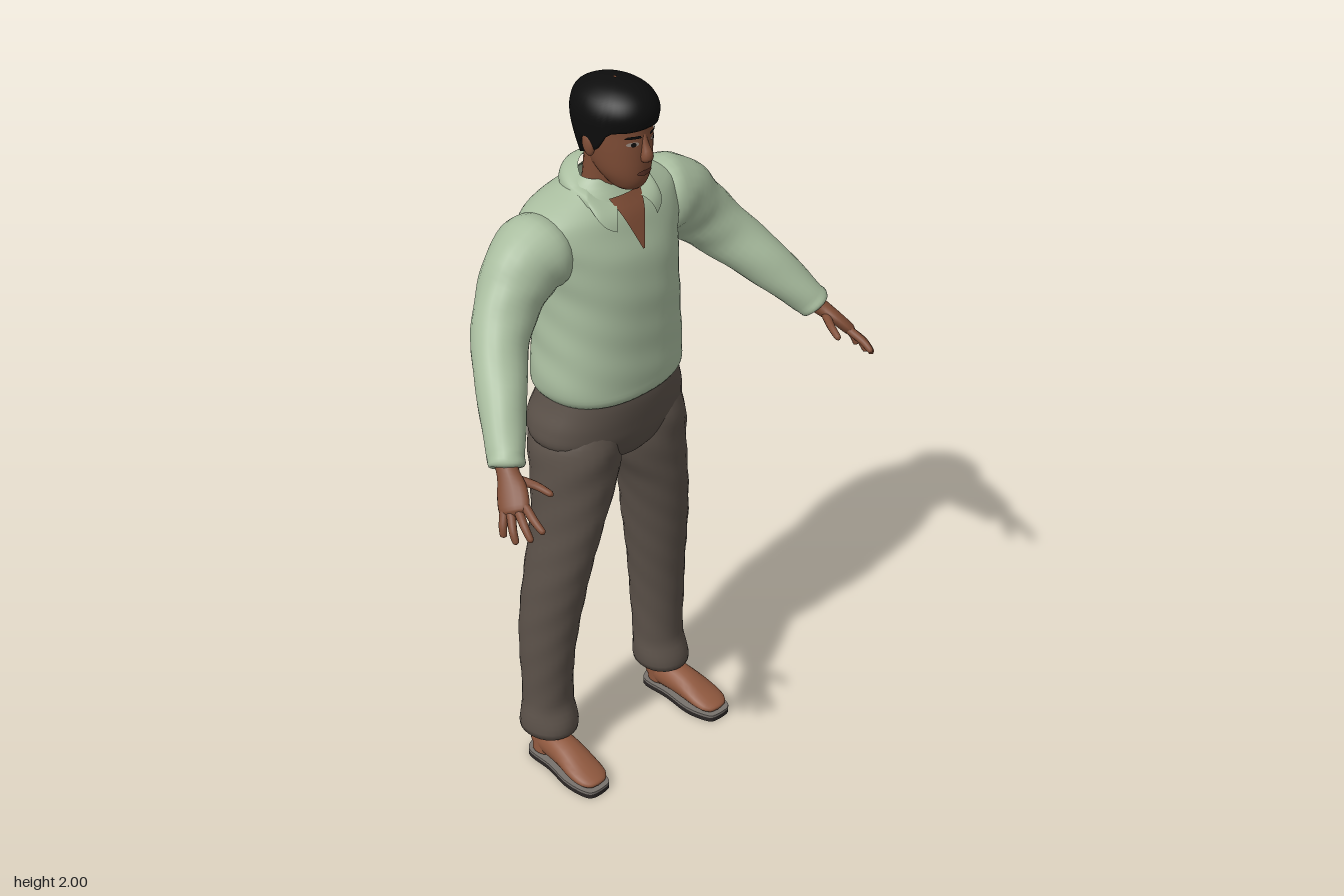
import * as THREE from 'three';

const mat = (name, color, side = THREE.FrontSide) => {
  const m = new THREE.MeshStandardMaterial({ color, side });
  m.name = name;
  return m;
};

// Smooth lookup in a table whose first column is the key; all rows are equally long
function at(table, k) {
  const last = table.length - 1;
  if (k <= table[0][0]) return table[0];
  if (k >= table[last][0]) return table[last];
  let i = 0;
  while (table[i + 1][0] < k) i++;
  const p = table[i], q = table[i + 1], h = q[0] - p[0], s = (k - p[0]) / h;
  const o = table[Math.max(i - 1, 0)], r = table[Math.min(i + 2, last)];
  return p.map((v, c) => {
    const m0 = (q[c] - o[c]) / (q[0] - o[0]) * h, m1 = (r[c] - v) / (r[0] - p[0]) * h;
    return (2 * s ** 3 - 3 * s * s + 1) * v + (s ** 3 - 2 * s * s + s) * m0
      + (3 * s * s - 2 * s ** 3) * q[c] + (s ** 3 - s * s) * m1;
  });
}

// Surface from fn(u, v); wrap joins the last column to the first
function grid(nu, nv, fn, wrap = true) {
  const pos = [], idx = [], cols = wrap ? nv : nv + 1;
  for (let i = 0; i <= nu; i++)
    for (let j = 0; j < cols; j++) pos.push(...fn(i / nu, j / nv));
  for (let i = 0; i < nu; i++)
    for (let j = 0; j < nv; j++) {
      const k = (j + 1) % cols, a = i * cols + j, b = i * cols + k;
      idx.push(a, b, b + cols, a, b + cols, a + cols);
    }
  const g = new THREE.BufferGeometry();
  g.setAttribute('position', new THREE.Float32BufferAttribute(pos, 3));
  g.setIndex(idx);
  g.computeVertexNormals();
  return g;
}

// Copy across x = 0 with the corner order turned back
function mirror(geo) {
  const g = geo.clone().scale(-1, 1, 1);
  const order = g.index ? Array.from(g.index.array) : Array.from({ length: g.attributes.position.count }, (_, i) => i);
  for (let i = 0; i < order.length; i += 3) [order[i], order[i + 1]] = [order[i + 1], order[i]];
  g.setIndex(order);
  return g;
}

// Point of a horizontal ring; rows are [y, halfWidth, zFront, zBack, centreX, exponent]
function ringPoint([y, rx, zf, zb, cx = 0, n = 2], t, k = 1) {
  const f = v => Math.sign(v) * Math.abs(v) ** (2 / n);
  return [cx + k * rx * f(Math.sin(t)), y, (zf + zb) / 2 + k * (zf - zb) / 2 * f(Math.cos(t))];
}
function rings(table, nu = 40, nv = 36, wrinkle = 0) {
  const y0 = table[0][0], y1 = table[table.length - 1][0];
  return grid(nu, nv, (u, v) => {
    const t = v * Math.PI * 2, y = y0 + (y1 - y0) * u;
    return ringPoint(at(table, y), t, 1 + wrinkle * Math.sin(3 * t + 38 * y) * Math.sin(21 * y + t));
  });
}
const frontZ = (table, x, y) => {
  const [, rx, zf, zb, , n = 2] = at(table, y);
  return (zf + zb) / 2 + (zf - zb) / 2 * Math.max(0, 1 - Math.abs(x / rx) ** n) ** (1 / n);
};

// Rounded limb through [x, y, z, a, b]; b is the radius along ref
function limb(rows, ref = [0, 0, 1], nu = 16, nv = 14, wrinkle = 0) {
  const curve = new THREE.CatmullRomCurve3(rows.map(([x, y, z]) => new THREE.Vector3(x, y, z)));
  const radii = rows.map((r, i) => [i / (rows.length - 1), r[3], r[4] ?? r[3]]);
  return grid(nu, nv, (u, v) => {
    const t = v * Math.PI * 2, T = curve.getTangent(u);
    const e2 = new THREE.Vector3(...ref).projectOnPlane(T).normalize();
    const e1 = T.clone().cross(e2), [, a, b] = at(radii, u);
    const k = 1 + wrinkle * Math.sin(2 * t + 30 * u) * Math.sin(17 * u + t);
    return curve.getPoint(u).addScaledVector(e1, a * k * Math.sin(t)).addScaledVector(e2, b * k * Math.cos(t)).toArray();
  });
}

// Thin patch laid on the front of a ringed body
const patch = (table, y0, y1, left, right, off) => grid(10, 10, (u, v) => {
  const x = left(u) + (right(u) - left(u)) * v, y = y0 + (y1 - y0) * u;
  return [x, y, frontZ(table, x, y) + off];
}, false);
const oval = (table, x, y, w, h, off) => {
  const half = u => w * Math.sqrt(Math.max(0, 1 - (2 * u - 1) ** 2));
  return patch(table, y - h, y + h, u => x - half(u), u => x + half(u), off);
};

export function createModel() {
  const model = new THREE.Group();
  const shirt = mat('sage shirt', 0xa9bd9f, THREE.DoubleSide), trousers = mat('brown trousers', 0x5b5149);
  const skin = mat('skin', 0x7f4d36, THREE.DoubleSide), footSkin = mat('foot skin', 0x8f583e);
  const hair = mat('black hair', 0x0d0d0d, THREE.DoubleSide), sole = mat('dark sole', 0x2c2726);
  const insole = mat('grey insole', 0x77716c), eyeWhite = mat('eye white', 0x9a8a80), lip = mat('lips', 0x663a2c);
  const add = (name, geo, m) => {
    const mesh = new THREE.Mesh(geo, m);
    mesh.name = name;
    model.add(mesh);
  };
  const pair = (name, geo, m) => { add(name + 'Left', geo, m); add(name + 'Right', mirror(geo), m); };

  // Shirt body
  const torso = [
    [1.145, .17, .01, -.215, 0, 2.3], [1.155, .2, .038, -.25, 0, 2.3], [1.19, .214, .045, -.265, 0, 2.3],
    [1.3, .204, .045, -.262, 0, 2.3], [1.45, .2, .04, -.273, 0, 2.3], [1.55, .215, .026, -.28, 0, 2.3],
    [1.62, .235, .002, -.277, 0, 2.2], [1.66, .222, -.015, -.26, 0, 2.1], [1.69, .165, -.035, -.235, 0, 2],
    [1.715, .1, -.05, -.2, 0, 2], [1.74, .07, -.06, -.175, 0, 2]];
  add('shirtBody', rings(torso, 60, 56, .012), shirt);
  add('openNeckSkin', patch(torso, 1.57, 1.7, u => -.003 - .05 * u, u => .003 + .05 * u, .006), skin);

  // Folded collar, open at the front
  add('collar', grid(8, 48, (u, v) => {
    const t = .45 + v * (2 * Math.PI - .9), c = Math.cos(t), s = Math.sin(t), f = Math.max(0, c) ** 2;
    const top = [.07 * s, 1.725 - .038 * c, -.105 + .07 * c];
    const x = (.108 + .06 * f) * s, y = 1.695 - .03 * c - .045 * f;
    const low = [x, y, c > 0 ? Math.max(-.12 + .1 * c, frontZ(torso, x, y) + .01) : -.12 + .108 * c];
    const bulge = .012 * Math.sin(Math.PI * u);
    return [0, 1, 2].map(i => low[i] + (top[i] - low[i]) * u + bulge * [s, .5, c][i]);
  }, false), shirt);

  // Sleeves
  pair('sleeve', limb([
    [.12, 1.6, -.13, .03], [.19, 1.588, -.13, .095, .1], [.26, 1.563, -.125, .1, .095], [.325, 1.5, -.113, .088, .08],
    [.39, 1.425, -.075, .076, .07], [.465, 1.332, .015, .063, .06], [.53, 1.243, .095, .047, .047],
    [.545, 1.222, .113, .042, .042], [.546, 1.22, .114, .004]], [0, 0, 1], 44, 24, .035), shirt);

  // Hands
  const across = [-.5, .3, .75];
  pair('palm', limb([[.535, 1.24, .095, .026, .03], [.553, 1.213, .128, .022, .029], [.573, 1.187, .163, .018, .04],
    [.594, 1.157, .192, .015, .038], [.6, 1.148, .2, .003, .01]], across), skin);
  const fingers = {
    thumb: [[.548, 1.205, .145], [.522, 1.195, .19], [.506, 1.18, .235]],
    indexFinger: [[.574, 1.17, .208], [.582, 1.15, .25], [.582, 1.13, .284]],
    middleFinger: [[.588, 1.158, .2], [.602, 1.135, .238], [.606, 1.108, .266]],
    ringFinger: [[.6, 1.15, .187], [.618, 1.12, .213], [.623, 1.092, .23]],
    littleFinger: [[.606, 1.15, .17], [.623, 1.12, .183], [.628, 1.095, .19]]
  };
  for (const [name, [a, b, c]] of Object.entries(fingers))
    pair(name, limb([[...a, .012], [...b, .0105], [...c.map((v, i) => v - (v - b[i]) * .15), .008], [...c, .001]],
      across, 12, 10), skin);

  // Trousers
  add('trouserSeat', rings([
    [.93, .03, -.06, -.15, 0, 2], [.96, .13, -.005, -.21, 0, 2], [1.02, .222, .022, -.25, 0, 2.2],
    [1.07, .228, .03, -.265, 0, 2.3], [1.13, .208, .034, -.25, 0, 2.3], [1.17, .196, .03, -.24, 0, 2.3]], 24, 40), trousers);
  pair('trouserLeg', rings([
    [.09, .045, -.08, -.17, .213], [.1, .07, -.045, -.2, .215], [.14, .076, -.042, -.205, .213], [.2, .07, -.06, -.2, .21],
    [.4, .076, -.05, -.212, .204], [.6, .082, -.02, -.212, .182], [.8, .092, .008, -.205, .15],
    [.92, .113, .017, -.228, .122], [1.02, .112, .02, -.246, .113], [1.1, .08, 0, -.22, .1]], 60, 28, .025), trousers);

  // Feet and flat sandals
  pair('ankle', rings([[.03, .04, -.08, -.165, .222], [.08, .04, -.075, -.168, .218], [.14, .042, -.07, -.17, .215]], 6, 18), footSkin);
  pair('foot', limb([[.22, .05, -.174, .004], [.22, .055, -.16, .03, .032], [.22, .06, -.11, .041, .044],
    [.224, .057, -.04, .045, .039], [.23, .042, .03, .05, .025], [.231, .034, .07, .044, .016],
    [.231, .03, .09, .026, .01], [.231, .028, .094, .003]], [0, 1, 0], 24, 18), footSkin);
  const outline = new THREE.Shape(new THREE.SplineCurve([[.222, -.182], [.182, -.155], [.183, -.07], [.176, .02], [.19, .082],
    [.208, .1], [.258, .1], [.276, .075], [.281, .01], [.266, -.07], [.261, -.155], [.222, -.182]]
    .map(p => new THREE.Vector2(...p))).getPoints(48));
  const slab = (y, h) => new THREE.ExtrudeGeometry(outline, { depth: h, bevelEnabled: false })
    .rotateX(Math.PI / 2).translate(0, y + h, 0);
  pair('sole', slab(0, .013), sole);
  pair('insole', slab(.013, .007), insole);

  // Head and neck
  const head = [
    [1.722, .012, -.01, -.05], [1.73, .034, .008, -.07], [1.75, .05, .022, -.1], [1.78, .065, .028, -.13],
    [1.83, .076, .03, -.16], [1.88, .082, .029, -.178], [1.93, .084, .026, -.178], [1.97, .06, 0, -.15], [1.985, .01, -.06, -.09]];
  add('head', rings(head, 40, 36), skin);
  add('neck', limb([[0, 1.62, -.12, .062], [0, 1.72, -.11, .058], [0, 1.82, -.095, .06]], [0, 0, 1], 8, 24), skin);
  add('nose', limb([[0, 1.814, .028, .001], [0, 1.816, .03, .013, .008], [0, 1.828, .036, .016, .017],
    [0, 1.855, .03, .01], [0, 1.885, .022, .006]], [0, 0, 1], 14, 14), skin);
  pair('ear', new THREE.SphereGeometry(1, 14, 10).scale(.012, .032, .019).rotateX(-.15).translate(.085, 1.85, -.078), skin);
  pair('eyeWhite', oval(head, .033, 1.864, .014, .006, .002), eyeWhite);
  pair('iris', oval(head, .033, 1.864, .006, .006, .004), hair);
  pair('eyebrow', patch(head, 1.879, 1.886, u => .013 + .004 * u, u => .053 - .008 * u, .004), hair);
  add('mouth', oval(head, 0, 1.782, .024, .008, .004), lip);

  // Short hair cap with a hairline that drops behind the ears
  const cap = [[1.78, .074, .03, -.165], [1.85, .09, .03, -.185], [1.9, .097, .04, -.196], [1.935, .097, .046, -.194],
    [1.965, .083, .032, -.182], [1.985, .058, .005, -.15], [1.996, .03, -.03, -.115], [2, .003, -.07, -.078]];
  const hairline = [[0, 1.905], [.6, 1.9], [1, 1.892], [1.25, 1.85], [1.5, 1.84], [1.7, 1.865], [1.95, 1.83], [2.3, 1.797], [3.15, 1.788]];
  add('hair', grid(26, 48, (u, v) => {
    const t = v * Math.PI * 2, y0 = at(hairline, Math.min(t, 2 * Math.PI - t))[1];
    const s = Math.max(0, u * 26 - 1) / 25;
    return ringPoint(at(cap, y0 + (2 - y0) * Math.sin(s * Math.PI / 2)), t, u === 0 ? .8 : 1);
  }), hair);

  return model;
}
